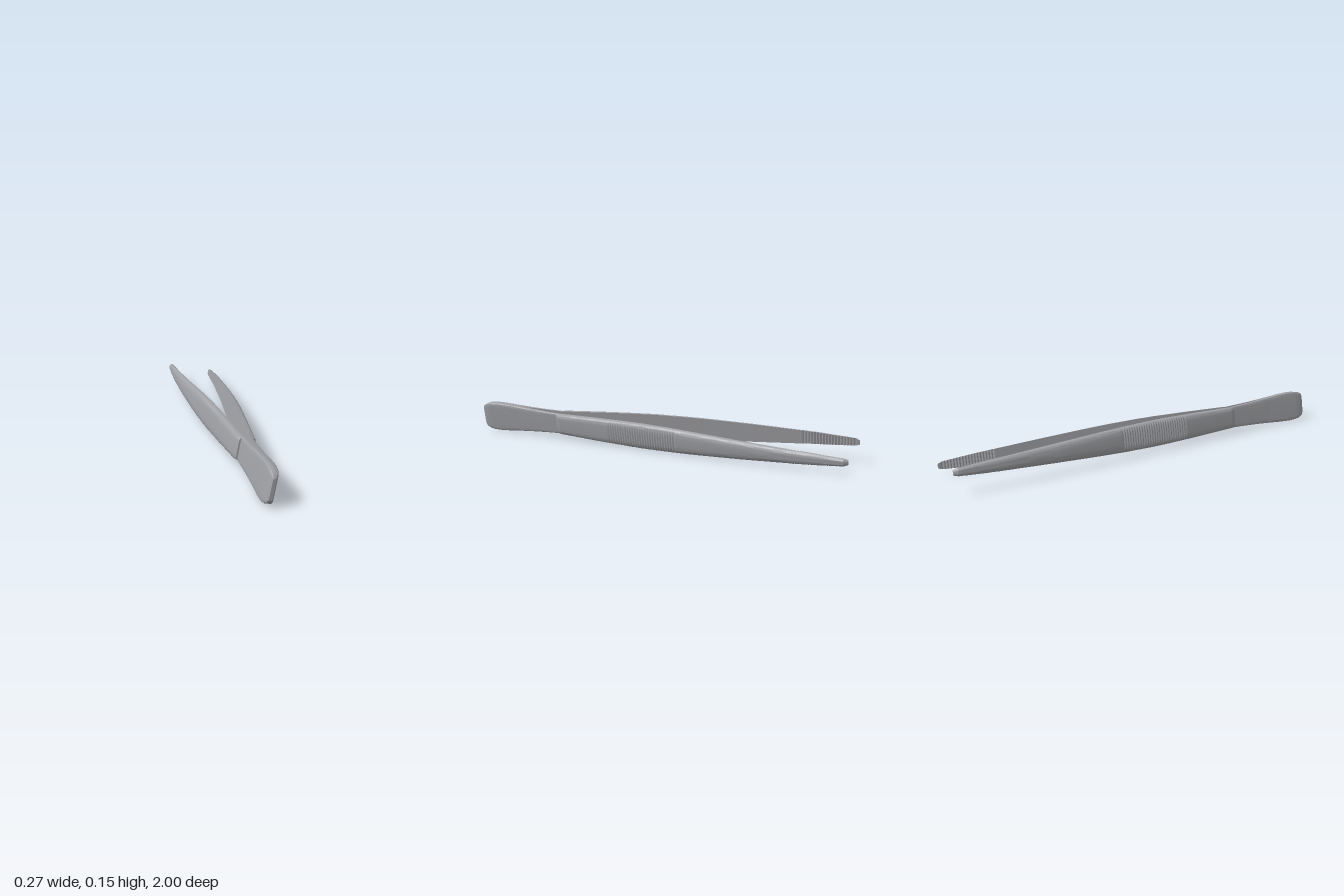
import * as THREE from 'three';
import { toCreasedNormals } from 'three/addons/utils/BufferGeometryUtils.js';

// Straight-line lookup in a short [z, value] list, z falling
function at(list, z) {
  if (z >= list[0][0]) return list[0][1];
  for (let i = 1; i < list.length; i++) {
    const [z0, v0] = list[i - 1], [z1, v1] = list[i];
    if (z >= z1) return v0 + (v1 - v0) * (z0 - z) / (z0 - z1);
  }
  return list[list.length - 1][1];
}

// Half-round section: flat inner face, superelliptic outer face
function section(z, inner, thick, half, power, side) {
  const pts = [], n = 18;
  for (let j = 0; j <= n; j++) {
    const a = (j / n - 0.5) * Math.PI;
    const c = Math.pow(Math.max(0, Math.cos(a)), power);
    const s = Math.sign(a) * Math.pow(Math.abs(Math.sin(a)), power);
    pts.push(new THREE.Vector3(side * (inner + thick * c), half * s, z));
  }
  return pts;
}

// Skin a row of sections and close both ends
function loft(rows, side) {
  const pos = [];
  const tri = (a, b, c) => {
    for (const p of side > 0 ? [a, b, c] : [a, c, b]) pos.push(p.x, p.y, p.z);
  };
  const n = rows[0].length;
  for (let i = 0; i < rows.length - 1; i++) {
    for (let j = 0; j < n; j++) {
      const k = (j + 1) % n, p = rows[i], q = rows[i + 1];
      tri(p[j], q[j], p[k]);
      tri(p[k], q[j], q[k]);
    }
  }
  const first = rows[0], last = rows[rows.length - 1];
  const mid = (r) => r[0].clone().add(r[(n - 1) / 2]).add(r[n - 1]).divideScalar(3);
  const m0 = mid(first), m1 = mid(last);
  for (let j = 0; j < n; j++) {
    const k = (j + 1) % n;
    tri(m0, first[j], first[k]);
    tri(m1, last[k], last[j]);
  }
  const g = new THREE.BufferGeometry();
  g.setAttribute('position', new THREE.Float32BufferAttribute(pos, 3));
  return toCreasedNormals(g, 0.5);
}

// Flat paddle end, both halves touching, parting towards the arms
const PLATE = {
  inner: [[0.77, 0], [0.5, 0.016]],
  thick: [[1, 0.007], [0.99, 0.014], [0.975, 0.018], [0.95, 0.02], [0.77, 0.02], [0.5, 0.012]],
  half: [[1, 0.045], [0.99, 0.059], [0.97, 0.069], [0.94, 0.075], [0.9, 0.0765], [0.84, 0.074],
    [0.7, 0.063], [0.6, 0.057], [0.5, 0.053]],
};

// Thicker arm tapering to the tip
const ARM = {
  inner: [[0.52, 0.015], [0.5, 0.016], [0.25, 0.038], [0, 0.06], [-0.25, 0.082], [-0.5, 0.1],
    [-0.75, 0.111], [-1, 0.112]],
  thick: [[0.525, 0.02], [0.505, 0.029], [0, 0.031], [-0.5, 0.026], [-0.8, 0.022], [-0.98, 0.019],
    [-1, 0.009]],
  half: [[0.525, 0.051], [0.505, 0.054], [0.3, 0.06], [0.1, 0.064], [0, 0.064], [-0.15, 0.061],
    [-0.3, 0.055], [-0.6, 0.04], [-0.85, 0.027], [-0.98, 0.018], [-1, 0.011]],
  power: [[0.5, 0.42], [0, 0.55], [-0.5, 0.7], [-1, 0.85]],
};

function handleHalf(side) {
  const rows = [];
  for (let i = 0; i <= 98; i++) {
    const z = 1 - i * 0.005;
    rows.push(section(z, at(PLATE.inner, z), at(PLATE.thick, z), at(PLATE.half, z), 0.22, side));
  }
  return loft(rows, side);
}

function arm(side) {
  const rows = [], count = 218;
  for (let i = 0; i <= count; i++) {
    const z = 0.525 - 1.525 * i / count;
    let inner = at(ARM.inner, z), thick = at(ARM.thick, z);
    // Finger ribs across the outside
    if (i % 2 && z < 0.2 && z > -0.18) thick -= 0.003;
    // Gripping teeth across the inside of the tip
    if (i % 2 && z < -0.74 && z > -0.99) {
      inner += 0.004;
      thick -= 0.004;
    }
    rows.push(section(z, inner, thick, at(ARM.half, z), at(ARM.power, z), side));
  }
  return loft(rows, side);
}

export function createModel() {
  const steel = new THREE.MeshStandardMaterial({ color: 0xa0a1a5 });
  steel.name = 'steel';

  const tweezers = new THREE.Group();
  tweezers.name = 'tweezers';
  for (const [side, label] of [[1, 'left'], [-1, 'right']]) {
    const handle = new THREE.Mesh(handleHalf(side), steel);
    handle.name = label + 'HandleHalf';
    const limb = new THREE.Mesh(arm(side), steel);
    limb.name = label + 'Arm';
    tweezers.add(handle, limb);
  }

  // Lying slightly rolled and turned
  tweezers.rotation.set(0, -0.0155, -0.19);
  tweezers.position.set(-0.017, 0.078, 0);

  const model = new THREE.Group();
  model.name = 'model';
  model.add(tweezers);
  return model;
}
